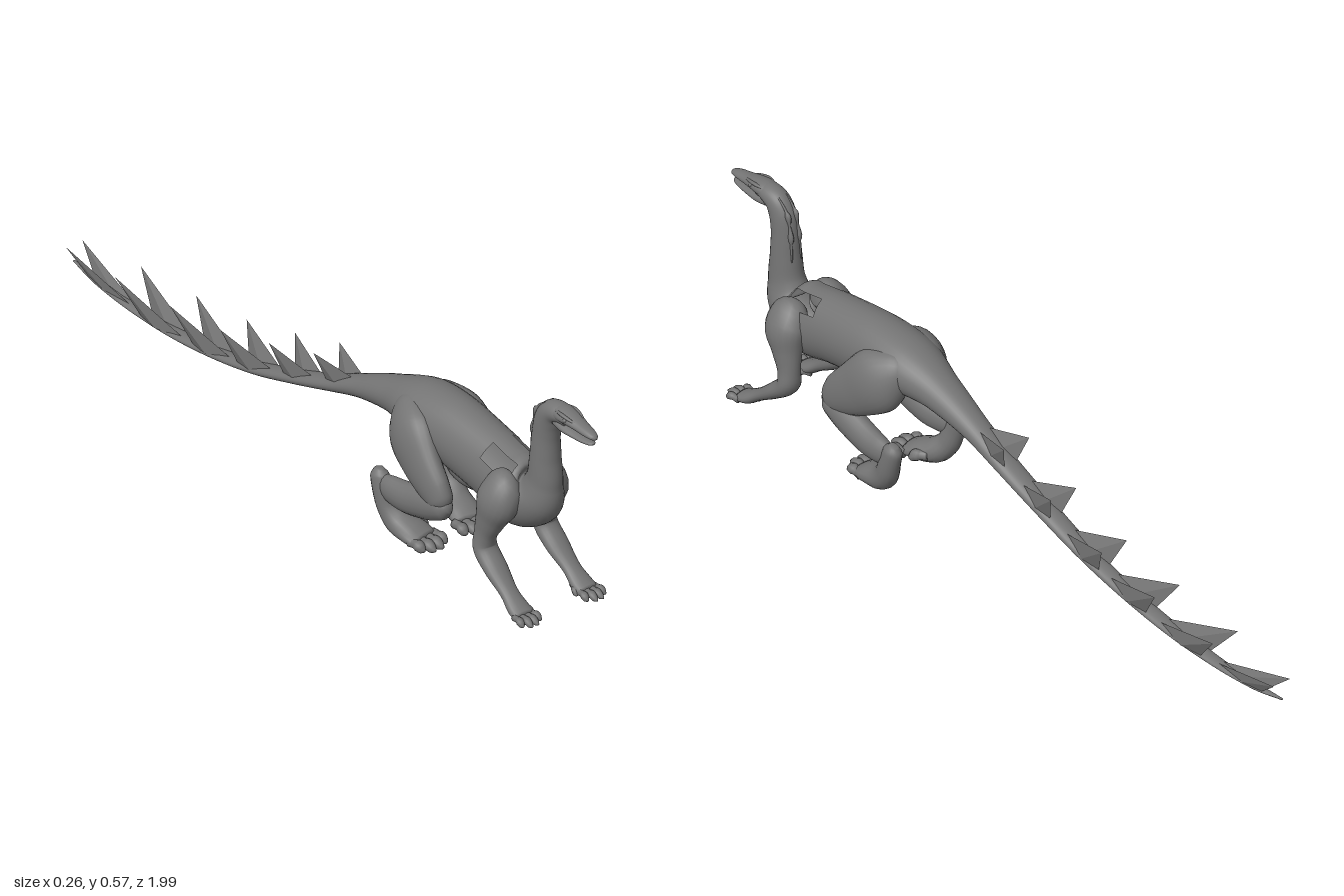
import * as THREE from 'three';
import { ConvexGeometry } from 'three/addons/geometries/ConvexGeometry.js';

const mat = new THREE.MeshStandardMaterial({ color: 0x747474, side: THREE.DoubleSide });
const V = (x, y, z) => new THREE.Vector3(x, y, z);

// Smooth loft through stations [x, y, z, halfWidth, halfHeight]; skip() leaves openings.
function loft(name, stations, rings = 28, sides = 16, skip = () => false) {
  const path = new THREE.CatmullRomCurve3(stations.map(s => V(s[0], s[1], s[2])));
  const size = new THREE.CatmullRomCurve3(stations.map(s => V(s[3], s[4], 0)));
  const pos = [], idx = [], centres = [];
  for (let i = 0; i <= rings; i++) {
    const u = i / rings, c = path.getPoint(u), r = size.getPoint(u), t = path.getTangent(u);
    const side = V(1, 0, 0).addScaledVector(t, -t.x).normalize();
    const up = side.clone().cross(t);
    centres.push(c);
    for (let j = 0; j < sides; j++) {
      const a = (j / sides) * Math.PI * 2;
      const p = c.clone().addScaledVector(side, r.x * Math.sin(a)).addScaledVector(up, r.y * Math.cos(a));
      pos.push(p.x, p.y, p.z);
    }
  }
  for (let i = 0; i < rings; i++) {
    for (let j = 0; j < sides; j++) {
      const a = i * sides + j, b = i * sides + (j + 1) % sides;
      if (skip(centres[i], (j + 0.5) / sides)) continue;
      idx.push(a, b, a + sides, b, b + sides, a + sides);
    }
  }
  // end caps
  const first = pos.length / 3, last = first + 1, e = rings * sides;
  pos.push(...centres[0].toArray(), ...centres[rings].toArray());
  for (let j = 0; j < sides; j++) {
    const k = (j + 1) % sides;
    idx.push(first, k, j, last, e + j, e + k);
  }
  const g = new THREE.BufferGeometry();
  g.setAttribute('position', new THREE.Float32BufferAttribute(pos, 3));
  g.setIndex(idx);
  g.computeVertexNormals();
  const m = new THREE.Mesh(g, mat);
  m.name = name;
  return m;
}

// Knuckled digit from a to b
function digit(name, a, b, r) {
  const at = (k, lift, w) => [a[0] + (b[0] - a[0]) * k, a[1] + (b[1] - a[1]) * k + lift, a[2] + (b[2] - a[2]) * k, r * w, r * w];
  return loft(name, [at(0, 0, 1), at(0.35, 0.003, 0.9), at(0.6, 0.004, 1.1), at(0.85, 0, 0.85), at(1, -0.001, 0.3)], 12, 8);
}

function frontLeg(s) {
  const g = new THREE.Group();
  g.name = s > 0 ? 'leftFrontLeg' : 'rightFrontLeg';
  g.add(loft('arm', [
    [s * .03, .305, .73, .025, .03], [s * .05, .298, .727, .046, .052], [s * .073, .265, .722, .046, .058],
    [s * .083, .215, .707, .034, .042], [s * .089, .165, .693, .027, .029], [s * .09, .13, .693, .031, .026],
    [s * .091, .09, .735, .031, .021], [s * .093, .048, .79, .024, .015],
    [s * .094, .024, .825, .029, .016], [s * .095, .015, .85, .029, .012]], 44, 20));
  [.074, .089, .104, .118].forEach((x, i) =>
    g.add(digit('finger', [s * x, .015, .84], [s * (.095 + (x - .095) * 1.2), .01, i % 3 ? .893 : .88], .009)));
  g.add(digit('thumb', [s * .08, .018, .81], [s * .064, .01, .845], .009));
  return g;
}

function hindLeg(s) {
  const g = new THREE.Group();
  g.name = s > 0 ? 'leftHindLeg' : 'rightHindLeg';
  g.add(loft('thigh', [
    [s * .022, .335, .325, .025, .03], [s * .042, .325, .35, .043, .055], [s * .07, .29, .395, .049, .08],
    [s * .088, .242, .452, .037, .068], [s * .093, .2, .505, .031, .052], [s * .092, .175, .528, .027, .038],
    [s * .092, .155, .54, .01, .012]], 36, 24));
  g.add(loft('shank', [
    [s * .092, .172, .56, .01, .012], [s * .092, .165, .535, .027, .034], [s * .092, .145, .47, .031, .042],
    [s * .094, .127, .4, .03, .04], [s * .097, .125, .35, .025, .036], [s * .1, .13, .305, .014, .024]]));
  g.add(loft('foot', [
    [s * .1, .165, .302, .01, .012], [s * .1, .148, .305, .021, .026], [s * .099, .11, .317, .024, .029],
    [s * .094, .07, .332, .028, .03], [s * .084, .04, .36, .037, .032], [s * .074, .026, .405, .043, .024],
    [s * .068, .018, .435, .04, .015]]));
  [.034, .056, .079, .1].forEach((x, i) =>
    g.add(digit('toe', [s * x, .017, .42], [s * (x - .004), .013, i % 3 ? .485 : .47], .013)));
  g.add(digit('innerToe', [s * .055, .035, .36], [s * .026, .025, .395], .014));
  return g;
}

export function createModel() {
  const model = new THREE.Group();
  model.name = 'longTailedReptile';

  // Neck, torso and tail as one skin, with an opening on each side behind the shoulders
  model.add(loft('body', [
    [0, .54, .9, .02, .018], [0, .546, .87, .028, .024], [0, .535, .838, .03, .031], [0, .508, .82, .031, .036],
    [0, .465, .811, .032, .037], [0, .4, .808, .036, .041], [0, .335, .805, .04, .05], [0, .283, .785, .056, .068],
    [0, .268, .715, .076, .094], [0, .288, .62, .075, .091], [0, .312, .47, .08, .088],
    [0, .322, .36, .08, .07], [0, .305, .25, .054, .046], [0, .263, .115, .036, .028],
    [0, .217, 0, .031, .019], [0, .164, -.15, .028, .016], [0, .12, -.29, .025, .014],
    [0, .087, -.45, .023, .012], [0, .068, -.61, .021, .01], [0, .063, -.78, .016, .008],
    [0, .07, -.9, .011, .006], [0, .083, -.985, .003, .002]],
    160, 32, (c, f) => {
      const a = Math.min(f, 1 - f) * Math.PI * 2;
      return c.z > .64 && c.z < .755 && a > .4 && a < .98;
    }));

  // Head with parted jaws
  model.add(loft('upperJaw', [
    [0, .547, .85, .024, .02], [0, .55, .88, .028, .02], [0, .549, .91, .026, .016],
    [0, .544, .945, .02, .012], [0, .54, .975, .016, .01], [0, .537, .993, .011, .007], [0, .535, 1, .004, .003]], 24));
  model.add(loft('lowerJaw', [
    [0, .525, .86, .022, .014], [0, .52, .89, .024, .013], [0, .517, .93, .02, .009],
    [0, .516, .965, .015, .007], [0, .517, .985, .01, .005], [0, .518, .992, .003, .002]], 24));
  for (const s of [1, -1]) {
    const eye = new THREE.Mesh(new THREE.SphereGeometry(.006, 12, 8), mat);
    eye.position.set(s * .022, .552, .91);
    eye.name = 'eye';
    model.add(eye);
    model.add(loft('brow', [[s * .018, .561, .87, .003, .003], [s * .021, .561, .895, .005, .004],
      [s * .018, .557, .92, .004, .004], [s * .012, .552, .94, .002, .002]], 12, 8));
    // raised folds down the back of the neck
    model.add(loft('neckFold', [[s * .012, .558, .822, .002, .002], [s * .012, .531, .793, .003, .004],
      [s * .012, .495, .781, .003, .004], [s * .013, .45, .775, .003, .004], [s * .014, .4, .77, .002, .002]], 24, 8));
    model.add(frontLeg(s), hindLeg(s));
  }

  // Paired tail spikes: front z, front y, back z, back y, tip z, tip y
  const spikes = [
    [.11, .275, 0, .222, -.025, .3], [-.05, .205, -.165, .165, -.195, .247],
    [-.21, .15, -.34, .112, -.378, .195], [-.37, .108, -.51, .083, -.57, .17],
    [-.55, .077, -.71, .068, -.78, .15], [-.75, .066, -.92, .074, -.985, .13]];
  spikes.forEach(([z0, y0, z1, y1, tz, ty], i) => {
    for (const s of [1, -1]) {
      const w = i === 5 ? .5 : 1, zm = z0 * .4 + z1 * .6, ym = y0 * .4 + y1 * .6;
      const spike = new THREE.Mesh(new ConvexGeometry([
        V(s * .01 * w, y0, z0), V(s * .016 * w, y1, z1),
        V(s * .025 * w, ym - .004, zm), V(s * .005 * w, ym + .004, zm),
        V(s * (i === 5 ? .025 : .039), ty, tz)]), mat);
      spike.name = 'tailSpike';
      model.add(spike);
    }
  });
  return model;
}
